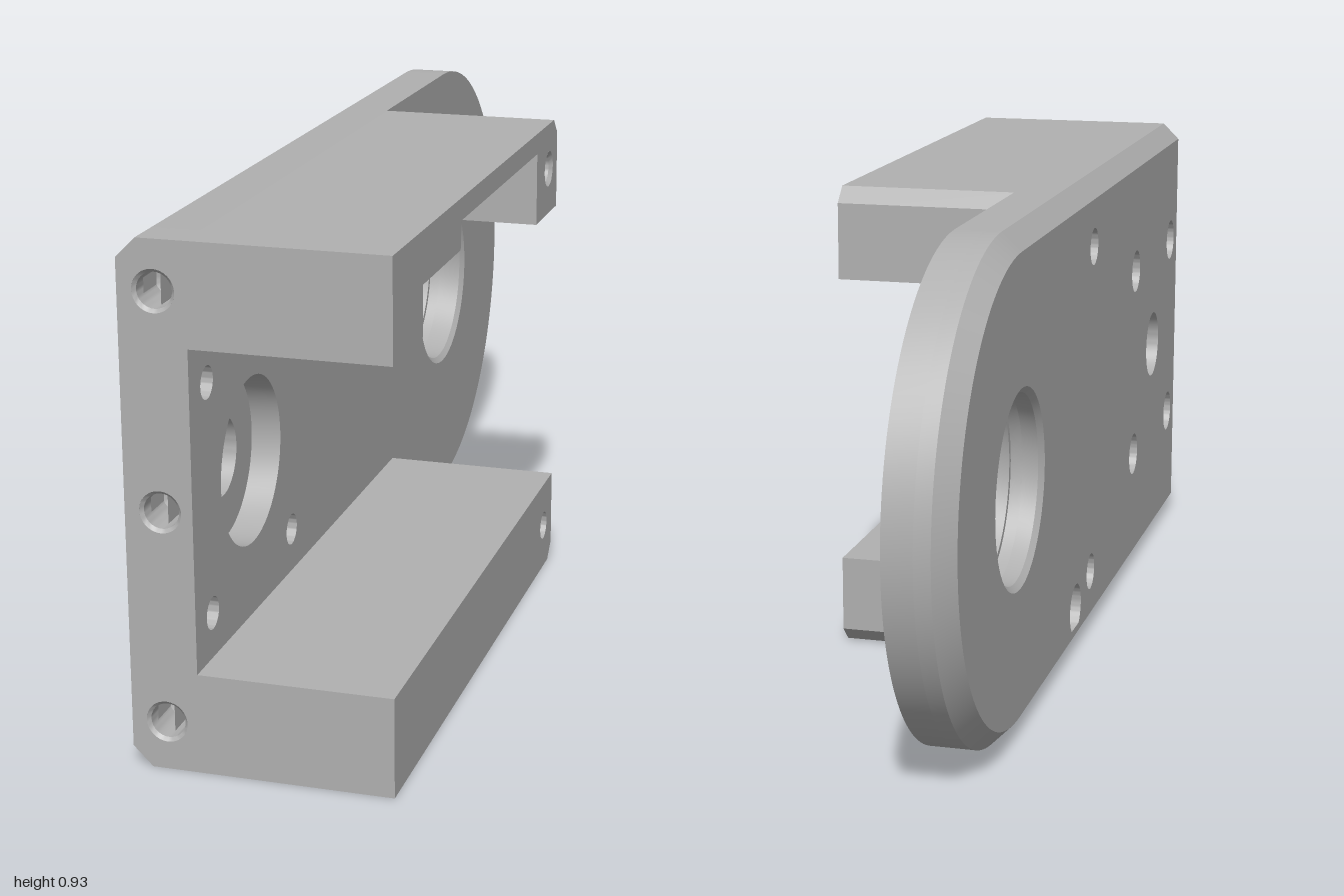
import * as THREE from 'three';
import { toCreasedNormals } from 'three/addons/utils/BufferGeometryUtils.js';

export function createModel() {
  const model = new THREE.Group();
  const grey = new THREE.MeshStandardMaterial({ color: 0xb0b0b0, side: THREE.DoubleSide });
  const OUT = -0.235, IN = -0.115, EDGE = 0.23, H = 0.93, R = H / 2, FRONT = 0.97;

  const add = (name, geo) => {
    const mesh = new THREE.Mesh(toCreasedNormals(geo, 0.45), grey);
    mesh.name = name;
    model.add(mesh);
    return mesh;
  };
  const circle = (u, v, r) => new THREE.Path().absarc(u, v, r, 0, Math.PI * 2, true);
  const polygon = (pts) => new THREE.Shape(pts.map(([u, v]) => new THREE.Vector2(u, v)));

  // Side profiles are drawn as (z, y) and extruded along x from x0 to x1
  const sideExtrude = (shape, holes, x0, x1) => {
    holes.forEach(([z, y, r]) => shape.holes.push(circle(-z, y, r)));
    return new THREE.ExtrudeGeometry(shape, { depth: x1 - x0, bevelEnabled: false, curveSegments: 32 })
      .rotateY(Math.PI / 2).translate(x0, 0, 0);
  };
  const sidePolygon = (pts) => polygon(pts.map(([z, y]) => [-z, y]));

  // Round-ended plate outline
  const plateShape = () => {
    const s = new THREE.Shape();
    s.moveTo(-FRONT, 0);
    s.lineTo(0.535, 0);
    s.absarc(0.535, R, R, -Math.PI / 2, Math.PI / 2, false);
    s.lineTo(-FRONT, H);
    s.closePath();
    return s;
  };

  // Drops the plate's front wall, which the front frame covers
  const openFront = (geo) => {
    const g = geo.index ? geo.toNonIndexed() : geo;
    const p = g.attributes.position, kept = [];
    for (let i = 0; i < p.count; i += 3) {
      if ([0, 1, 2].every((k) => p.getZ(i + k) > FRONT - 1e-4)) continue;
      for (let k = 0; k < 3; k++) kept.push(p.getX(i + k), p.getY(i + k), p.getZ(i + k));
    }
    const out = new THREE.BufferGeometry();
    out.setAttribute('position', new THREE.Float32BufferAttribute(kept, 3));
    out.computeVertexNormals();
    return out;
  };

  // Pulls the outer rim towards the plate's middle line to form the chamfer
  const chamferRim = (geo) => {
    const p = geo.attributes.position;
    for (let i = 0; i < p.count; i++) {
      if (p.getX(i) > OUT + 1e-4) continue;
      const cz = Math.max(p.getZ(i), -0.535), dy = p.getY(i) - R, dz = p.getZ(i) - cz;
      if (Math.hypot(dy, dz) < 0.45) continue;
      const k = (R - 0.035) / R;
      p.setY(i, R + dy * k);
      p.setZ(i, cz + dz * k);
    }
    return geo;
  };

  // Plate in three layers, so that holes can step in radius
  const screws = (r) => [[0.92, 0.67, r], [0.92, 0.26, r], [0.51, 0.67, r], [0.51, 0.26, r]];
  const dowels = [[0.07, 0.8, 0.037], [0.07, 0.125, 0.037]];
  const bore = [-0.535, R, 0.185];
  const layers = [
    ['plateOuterLayer', OUT, -0.2, [...screws(0.045), ...dowels, bore, [0.715, R, 0.072], [-0.07, 0.09, 0.05]]],
    ['plateMiddleLayer', -0.2, -0.17, [...screws(0.029), ...dowels, bore, [0.715, R, 0.072], [-0.07, 0.09, 0.05]]],
    ['plateInnerLayer', -0.17, IN, [...screws(0.029), bore, [0.715, R, 0.152], [-0.07, 0.09, 0.028]]],
  ];
  layers.forEach(([name, x0, x1, holes], i) => {
    let geo = sideExtrude(plateShape(), holes, x0, x1);
    if (i === 0) geo = chamferRim(geo);
    add(name, openFront(geo));
  });

  // Large bore lining with chamfered mouths and a ring groove
  const lining = [[0.185, OUT], [0.174, -0.225], [0.174, -0.195], [0.185, -0.195],
    [0.185, -0.17], [0.174, -0.17], [0.174, -0.124], [0.185, IN]];
  const liningGeo = new THREE.LatheGeometry(lining.map(([r, y]) => new THREE.Vector2(r, y)), 64);
  add('boreLining', liningGeo.rotateZ(-Math.PI / 2).translate(0, R, -0.535));

  // Front frame: C-shaped end face with bolt holes
  const frame = polygon([[-0.2, 0], [EDGE, 0], [EDGE, 0.18], [IN, 0.18], [IN, 0.75],
    [EDGE, 0.75], [EDGE, H], [-0.2, H], [OUT, H - 0.035], [OUT, 0.035]]);
  const boltHeights = [0.087, R, 0.843];
  boltHeights.forEach((y) => frame.holes.push(circle(-0.172, y, 0.037)));
  add('frontFrame', new THREE.ExtrudeGeometry(frame, { depth: 1 - FRONT, bevelEnabled: false, curveSegments: 24 })
    .translate(0, 0, FRONT));

  // Blind drilled hole with a small countersink and a conical bottom, opening along +y
  const blindHole = (r, inner, depth) => new THREE.LatheGeometry(
    [[r, 0], [inner, inner - r], [inner, -depth], [0.0005, -depth - inner * 0.5]]
      .map(([a, b]) => new THREE.Vector2(a, b)), 32);
  boltHeights.forEach((y) =>
    add('frontBoltHole', blindHole(0.037, 0.031, 0.085).rotateX(Math.PI / 2).translate(-0.172, y, 1)));

  // Lower arm with chamfered back corner
  const lower = sidePolygon([[FRONT, 0], [-0.11, 0], [-0.14, 0.03], [-0.14, 0.18], [FRONT, 0.18]]);
  add('lowerArm', sideExtrude(lower, [[-0.07, 0.09, 0.028]], IN, EDGE));

  // Upper arm: the notch is short near the plate and long along the edge
  const upper = (notchFront) => sidePolygon([[FRONT, 0.75], [notchFront, 0.75], [notchFront, 0.89],
    [0.03, 0.89], [0.03, 0.75], [-0.14, 0.75], [-0.14, 0.9], [-0.11, H], [FRONT, H]]);
  const armHole = [[-0.07, 0.84, 0.035]];
  add('upperArmInner', sideExtrude(upper(0.26), armHole, IN, 0.14));
  add('upperArmOuter', sideExtrude(upper(0.83), armHole, 0.14, EDGE));
  add('upperArmHole', blindHole(0.035, 0.028, 0.15).rotateZ(-Math.PI / 2).translate(EDGE, 0.84, -0.07));

  return model;
}
